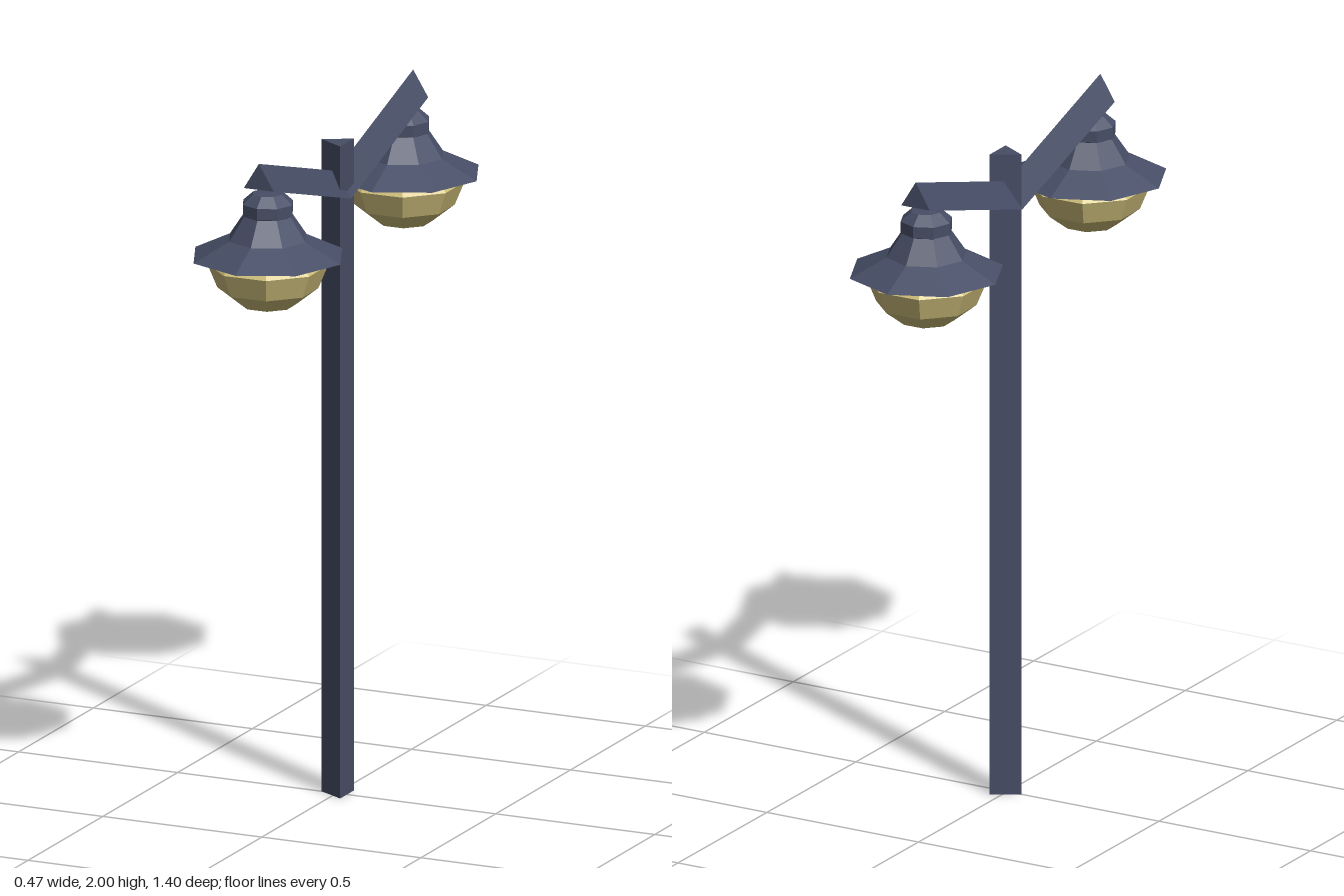
import * as THREE from 'three';

const metal = new THREE.MeshStandardMaterial({ color: 0x474e66, flatShading: true, side: THREE.DoubleSide });
const glass = new THREE.MeshStandardMaterial({ color: 0xd0c07c, flatShading: true, side: THREE.DoubleSide });

function part(name, geometry, material) {
  const mesh = new THREE.Mesh(geometry, material);
  mesh.name = name;
  return mesh;
}

// Eight-sided turned part from [radius, height] pairs, bottom to top
function turned(profile, phiStart = 0) {
  return new THREE.LatheGeometry(profile.map(([r, y]) => new THREE.Vector2(r, y)), 8, phiStart);
}

// Triangular beam, sheared so it climbs outward while its ends stay vertical
function armGeometry(length, slope) {
  const section = new THREE.Shape([
    new THREE.Vector2(-0.047, 0), new THREE.Vector2(0.047, 0), new THREE.Vector2(0, 0.077),
  ]);
  const geometry = new THREE.ExtrudeGeometry(section, { depth: length, bevelEnabled: false });
  const pos = geometry.attributes.position;
  for (let i = 0; i < pos.count; i++) pos.setY(i, pos.getY(i) + slope * pos.getZ(i));
  geometry.computeVertexNormals();
  return geometry;
}

function createLamp() {
  const lamp = new THREE.Group();
  lamp.name = 'lamp';
  // Flared shade
  lamp.add(part('shade', turned([[0.226, 1.714], [0.118, 1.767], [0.072, 1.836]]), metal));
  // Collar and cap
  lamp.add(part('cap', turned([[0.06, 1.832], [0.076, 1.838], [0.076, 1.872], [0.045, 1.9], [0, 1.903]]), metal));
  // Faceted globe, its top tucked inside the shade
  lamp.add(part('globe', turned([
    [0, 1.565], [0.08, 1.571], [0.144, 1.62], [0.172, 1.688], [0.145, 1.72], [0.09, 1.745], [0, 1.75],
  ], Math.PI / 8), glass));
  return lamp;
}

export function createModel() {
  const model = new THREE.Group();
  model.name = 'streetLamp';

  // Three-sided post
  const post = part('post', new THREE.CylinderGeometry(0.053, 0.053, 1.93, 3, 1, false, -Math.PI / 2), metal);
  post.position.set(0.006, 0.965, 0);
  model.add(post);

  // Two mirrored arms with a lamp each, slightly turned on the post
  const head = new THREE.Group();
  head.name = 'head';
  head.position.x = -0.002;
  head.rotation.y = 0.016;
  for (const [side, name] of [[1, 'frontArm'], [-1, 'backArm']]) {
    const arm = part(name, armGeometry(0.534, 0.3), metal);
    arm.position.y = 1.765;
    if (side < 0) arm.rotation.y = Math.PI;
    const lamp = createLamp();
    lamp.position.z = side * 0.472;
    head.add(arm, lamp);
  }
  model.add(head);
  return model;
}
